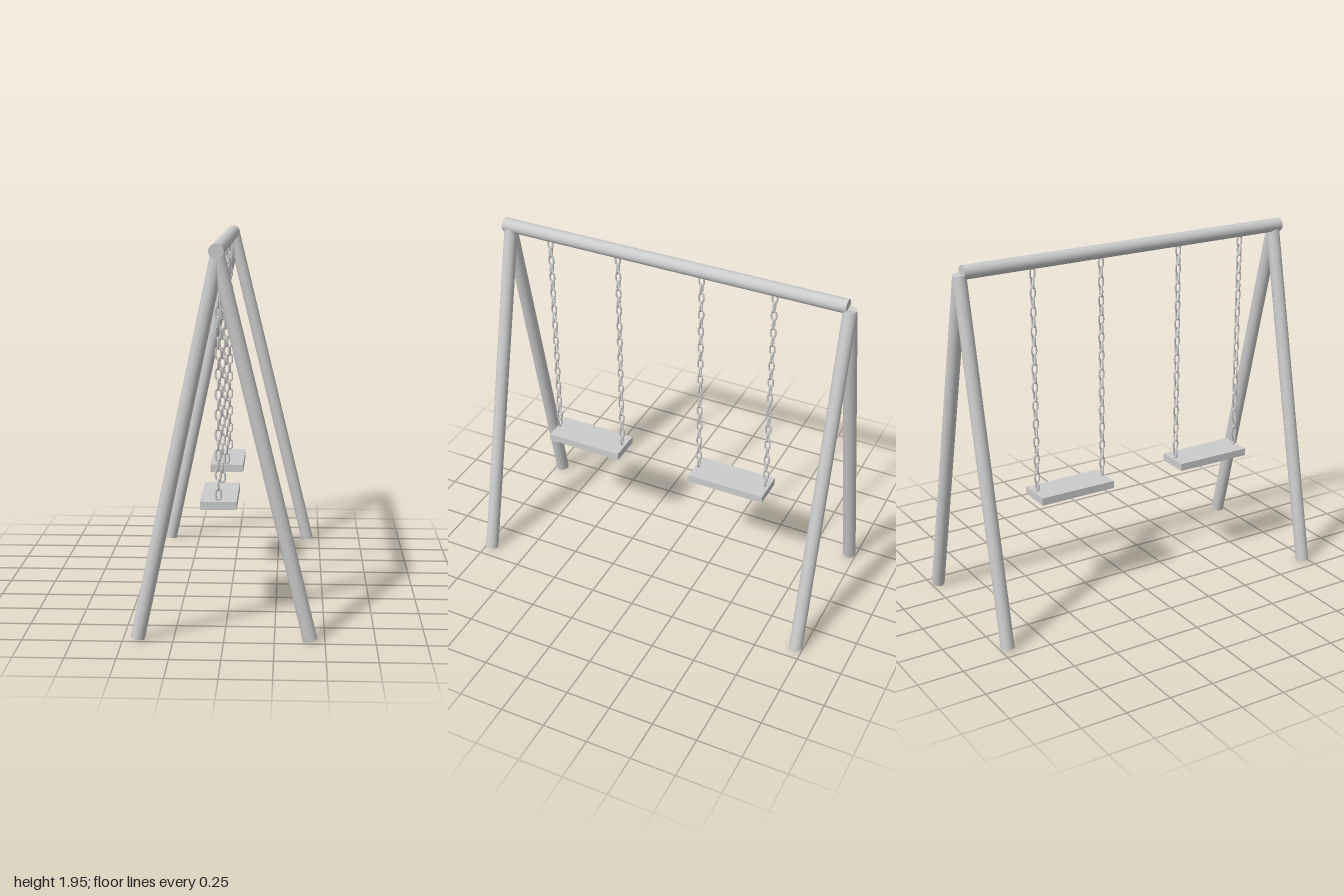
import * as THREE from 'three';

const material = new THREE.MeshStandardMaterial({ color: 0xcccccc });

function addMesh(parent, name, geometry) {
  const mesh = new THREE.Mesh(geometry, material);
  mesh.name = name;
  parent.add(mesh);
  return mesh;
}

// Round pole running from point a to point b
function addPole(parent, name, a, b, radius) {
  const dir = b.clone().sub(a);
  const pole = addMesh(parent, name, new THREE.CylinderGeometry(radius, radius, dir.length(), 32));
  pole.position.copy(a).add(b).multiplyScalar(0.5);
  pole.quaternion.setFromUnitVectors(new THREE.Vector3(0, 1, 0), dir.normalize());
  return pole;
}

// Oval chain link lying in the xy plane
function linkGeometry(width, height, wire) {
  const r = width / 2 - wire;
  const straight = height / 2 - wire - r;
  const points = [];
  for (const [side, start] of [[1, 0], [-1, Math.PI]]) {
    for (let i = 0; i <= 4; i++) {
      const a = start + (i / 4) * Math.PI;
      points.push(new THREE.Vector3(Math.cos(a) * r, Math.sin(a) * r + side * straight, 0));
    }
  }
  const path = new THREE.CatmullRomCurve3(points, true, 'centripetal');
  return new THREE.TubeGeometry(path, 28, wire, 8, true);
}

export function createModel() {
  const model = new THREE.Group();
  model.name = 'swingSet';
  const v = (x, y, z) => new THREE.Vector3(x, y, z);

  // Top beam
  addPole(model, 'topBeam', v(-0.033, 1.917, -0.95), v(-0.033, 1.917, 1), 0.037);

  // A-frame legs at both ends
  for (const [end, z] of [['front', 0.963], ['back', -0.963]]) {
    const frame = new THREE.Group();
    frame.name = end + 'Frame';
    addPole(frame, 'rightLeg', v(-0.427, 0.008, z), v(-0.027, 1.9, z), 0.036);
    addPole(frame, 'leftLeg', v(0.427, 0.008, z), v(-0.03, 1.9, z), 0.036);
    model.add(frame);
  }

  // Swings: a plank seat hung on two chains
  const link = linkGeometry(0.035, 0.064, 0.005);
  const seatGeometry = new THREE.BoxGeometry(0.185, 0.042, 0.442);
  for (const [name, z] of [['frontSwing', 0.526], ['backSwing', -0.361]]) {
    const swing = new THREE.Group();
    swing.name = name;
    swing.position.set(-0.038, 0, z);
    addMesh(swing, 'seat', seatGeometry).position.y = 0.629;
    for (const side of [-1, 1]) {
      const chain = new THREE.Group();
      chain.name = 'chain';
      chain.position.z = side * 0.202;
      // Alternate links turn a quarter round
      for (let i = 0; i < 24; i++) {
        const mesh = addMesh(chain, 'chainLink', link);
        mesh.position.y = 0.683 + i * 0.0511;
        mesh.rotation.y = i % 2 ? Math.PI / 2 : 0;
      }
      swing.add(chain);
    }
    model.add(swing);
  }
  return model;
}
